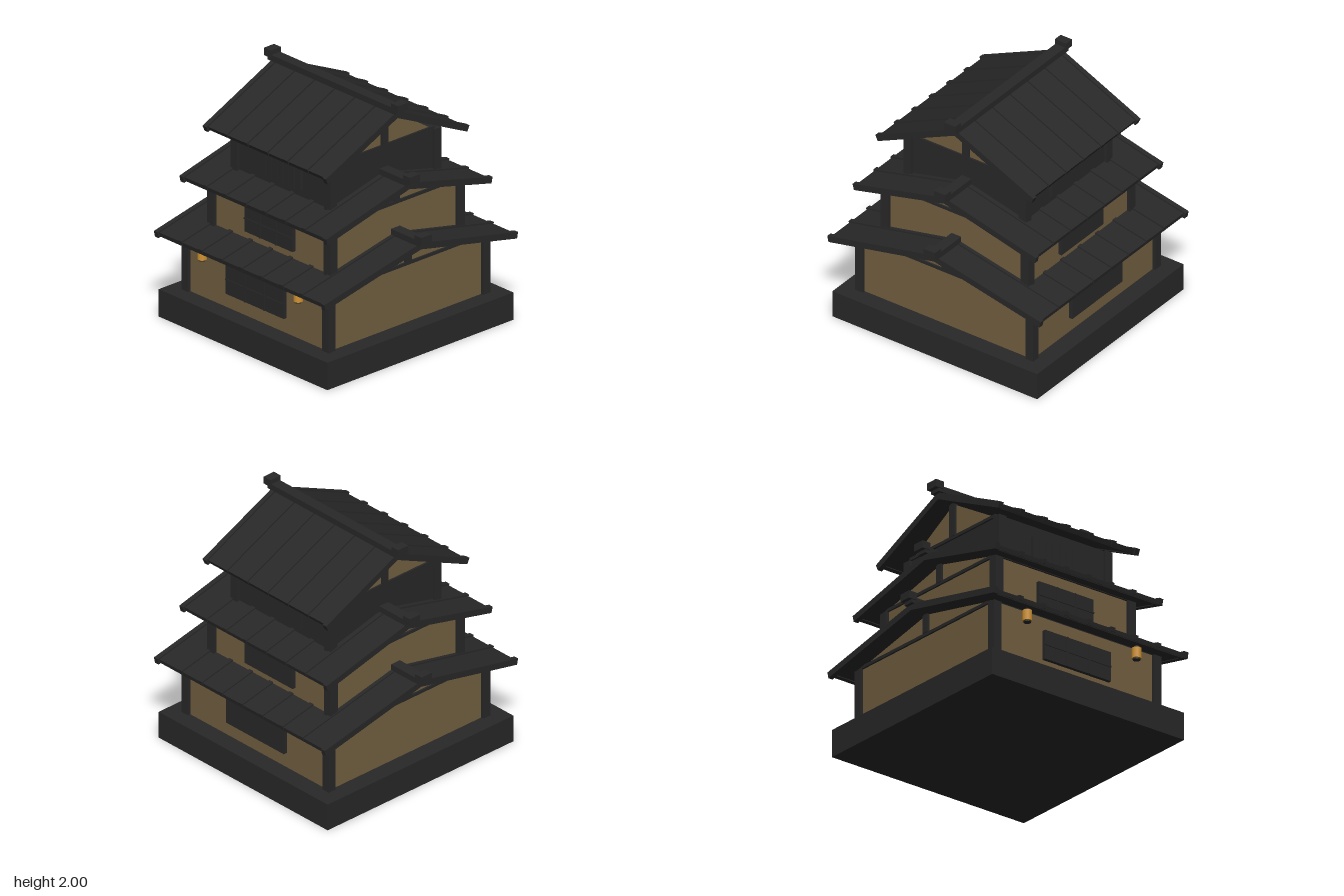
import * as THREE from 'three';

const mat = (name, color) => Object.assign(new THREE.MeshStandardMaterial({ color }), { name });

export function createModel() {
  const timber = mat('dark timber', 0x282828);
  const plaster = mat('tan plaster', 0x735f41);
  const amber = mat('amber lantern', 0xd39433);
  const model = new THREE.Group();
  model.name = 'tieredHouse';

  function add(parent, name, geometry, material, x = 0, y = 0, z = 0) {
    const mesh = new THREE.Mesh(geometry, material);
    mesh.name = name;
    mesh.position.set(x, y, z);
    parent.add(mesh);
    return mesh;
  }
  // Box given by its size, horizontal centre and bottom/top heights
  function block(parent, name, w, y0, y1, d, x = 0, z = 0, material = timber) {
    return add(parent, name, new THREE.BoxGeometry(w, y1 - y0, d), material, x, (y0 + y1) / 2, z);
  }

  block(model, 'base', 1.86, 0, 0.225, 1.91);

  const tiers = [
    { name: 'lowerTier', y0: 0.22, y1: 0.7, px: 0.81, pz: 0.83, post: 0.07, wall: plaster,
      win: [0.32, 0.35, 0.59], bars: 2, rail: true, beamZ: 0.8, gable: [0.75, 0.725, 0.885],
      roof: { x: 0.94, ridge: 0.925, z: 0.995, eave: 0.714 }, ribs: 7, gap: 0.222 },
    { name: 'middleTier', y0: 0.715, y1: 1.16, px: 0.68, pz: 0.69, post: 0.075, wall: plaster,
      win: [0.265, 0.84, 1.06], bars: 2, rail: true, beamZ: 0.68, gable: [0.62, 1.18, 1.33],
      roof: { x: 0.81, ridge: 1.378, z: 0.855, eave: 1.168 }, ribs: 6, gap: 0.217 },
    { name: 'upperTier', y0: 1.175, y1: 1.58, px: 0.55, pz: 0.57, post: 0.07, wall: timber,
      win: [0.22, 1.29, 1.49], bars: 6, rail: false, beamZ: 0.51, gable: [0.47, 1.6, 1.87],
      roof: { x: 0.68, ridge: 1.925, z: 0.738, eave: 1.586 }, ribs: 5, gap: 0.222 },
  ];

  for (const t of tiers) {
    const g = new THREE.Group();
    g.name = t.name;
    model.add(g);
    const wx = t.px - 0.025, wz = t.pz - 0.025;

    // Walls, corner posts and top plate
    block(g, 'walls', wx * 2, t.y0, t.y1, wz * 2, 0, 0, t.wall);
    for (const sx of [-1, 1]) for (const sz of [-1, 1]) {
      block(g, 'cornerPost', t.post, t.y0, t.y1, t.post,
        sx * (t.px - t.post / 2), sz * (t.pz - t.post / 2));
    }
    block(g, 'topPlate', t.px * 2 - 0.02, t.y1, t.y1 + 0.025, t.beamZ * 2);

    // Gable prism with a king post at each end
    const [gz, gy0, gy1] = t.gable;
    const tri = new THREE.Shape([
      new THREE.Vector2(-gz, gy0), new THREE.Vector2(gz, gy0), new THREE.Vector2(0, gy1)]);
    const prism = new THREE.ExtrudeGeometry(tri, { depth: wx * 2, bevelEnabled: false });
    prism.translate(0, 0, -wx).rotateY(Math.PI / 2);
    add(g, 'gable', prism, plaster);
    for (const s of [-1, 1]) block(g, 'kingPost', 0.04, gy0, gy1, 0.06, s * wx, 0);

    // Shuttered windows front and back, lattice on the front
    const [ww, wy0, wy1] = t.win;
    for (const s of [-1, 1]) block(g, 'windowPanel', ww * 2, wy0, wy1, 0.04, 0, s * (wz + 0.01));
    const barZ = wz + 0.033;
    for (let i = 1; i <= t.bars; i++) {
      block(g, 'windowBar', 0.012, wy0, wy1, 0.008, -ww + (2 * ww * i) / (t.bars + 1), barZ);
    }
    if (t.rail) {
      const mid = (wy0 + wy1) / 2;
      block(g, 'windowRail', ww * 2, mid - 0.006, mid + 0.006, 0.008, 0, barZ);
    }

    // Two sloping roof halves, each built flat along +z then tilted
    const r = t.roof;
    const drop = r.ridge - r.eave;
    const len = Math.hypot(r.z, drop);
    for (const s of [0, 1]) {
      const half = new THREE.Group();
      half.name = s ? 'backRoof' : 'frontRoof';
      half.rotation.y = s * Math.PI;
      const slope = new THREE.Group();
      slope.position.y = r.ridge;
      slope.rotation.x = Math.atan2(drop, r.z);
      half.add(slope);
      g.add(half);
      const L = len - 0.018;
      block(slope, 'roofSlab', r.x * 2 - 0.02, -0.045, -0.012, L, 0, L / 2);
      block(slope, 'eaveBeam', r.x * 2 - 0.02, -0.052, -0.03, 0.03, 0, L - 0.02);
      for (const e of [-1, 1]) {
        block(slope, 'bargeBoard', 0.04, -0.052, 0, len, e * (r.x - 0.02), len / 2);
      }
      for (let i = 0; i < t.ribs; i++) {
        block(slope, 'roofRib', 0.04, -0.035, 0, L + 0.006,
          (i - (t.ribs - 1) / 2) * t.gap, (L + 0.006) / 2);
      }
    }

    // Ridge cap with raised end blocks
    block(g, 'ridgeCap', (r.x + 0.028) * 2, r.ridge - 0.012, r.ridge + 0.037, 0.09);
    for (const s of [-1, 1]) {
      block(g, 'ridgeEnd', 0.075, r.ridge + 0.015, r.ridge + 0.075, 0.105, s * (r.x + 0.0225), 0);
    }
  }

  // Hanging lanterns under the front eave
  for (const s of [-1, 1]) {
    const lantern = new THREE.Group();
    lantern.name = 'lantern';
    lantern.position.set(s * 0.53, 0.625, 0.88);
    model.add(lantern);
    add(lantern, 'lanternBody', new THREE.CylinderGeometry(0.038, 0.038, 0.085, 12), amber);
    for (const e of [-1, 1]) {
      add(lantern, 'lanternCap', new THREE.CylinderGeometry(0.03, 0.03, 0.012, 12), timber, 0, e * 0.047, 0);
    }
    add(lantern, 'lanternCord', new THREE.CylinderGeometry(0.006, 0.006, 0.05, 6), timber, 0, 0.07, 0);
  }
  return model;
}
